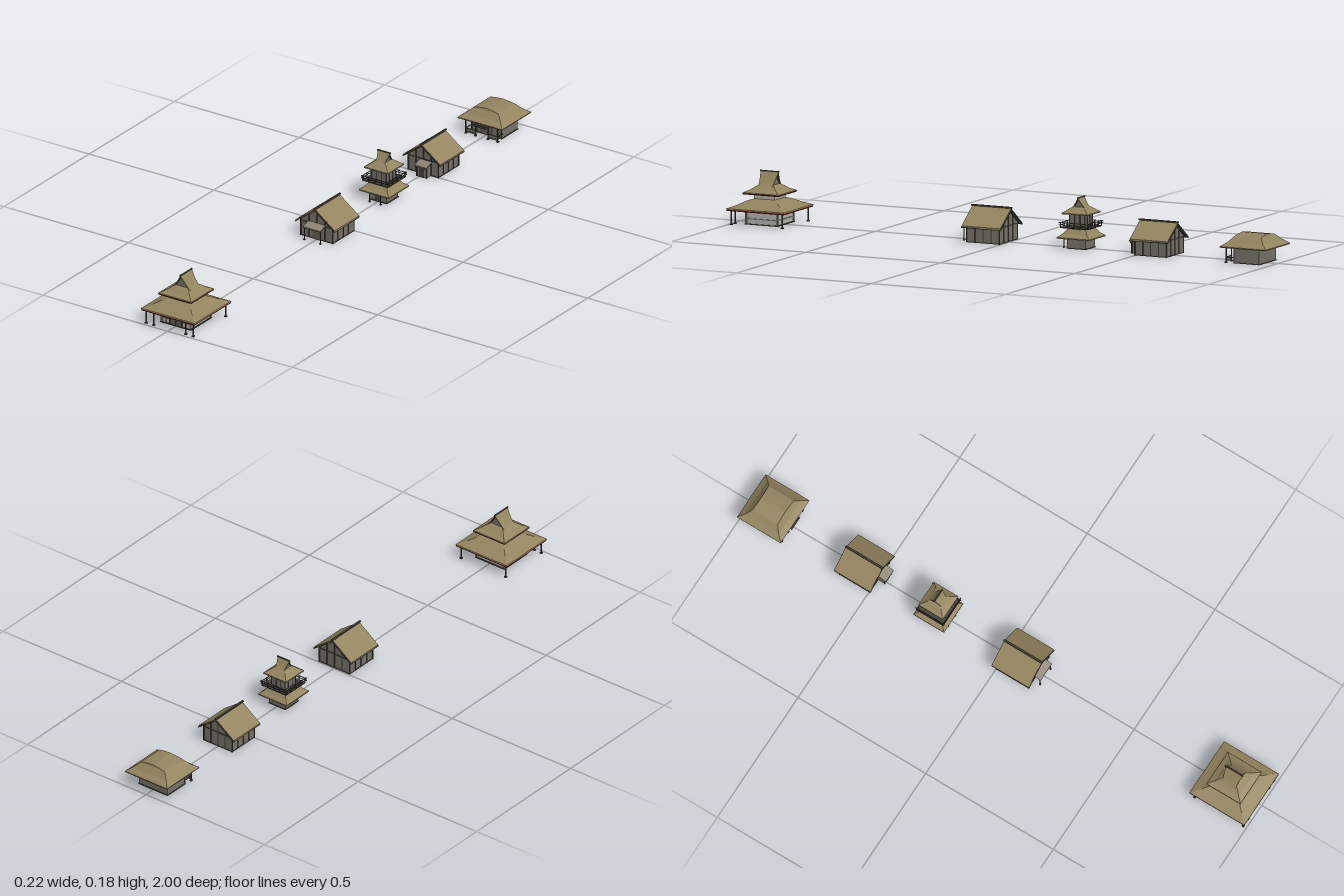
import * as THREE from 'three';

const mat = (color) => new THREE.MeshStandardMaterial({ color, flatShading: true, side: THREE.DoubleSide });
const thatch = mat(0x94845f), timber = mat(0x45423a), plaster = mat(0xb4b4ae), stone = mat(0x77736a);
const red = mat(0x6e0808), door = mat(0x625d53), board = mat(0x8c8373);

function add(parent, name, geo, material, x = 0, y = 0, z = 0) {
  const m = new THREE.Mesh(geo, material);
  m.name = name;
  m.position.set(x, y, z);
  parent.add(m);
  return m;
}

// box standing on y
const box = (p, name, m, w, h, d, x, y, z) => add(p, name, new THREE.BoxGeometry(w, h, d), m, x, y + h / 2, z);

// skin over four-cornered rings, closed at both ends
function loft(rings) {
  const pos = [];
  const quad = (a, b, c, d) => pos.push(...a, ...b, ...c, ...a, ...c, ...d);
  for (let i = 0; i < rings.length - 1; i++) {
    for (let k = 0; k < 4; k++) {
      const n = (k + 1) % 4;
      quad(rings[i][k], rings[i][n], rings[i + 1][n], rings[i + 1][k]);
    }
  }
  const f = rings[0], l = rings[rings.length - 1];
  quad(f[3], f[2], f[1], f[0]);
  quad(l[0], l[1], l[2], l[3]);
  const g = new THREE.BufferGeometry();
  g.setAttribute('position', new THREE.Float32BufferAttribute(pos, 3));
  g.computeVertexNormals();
  return g;
}

// hipped roof: profile rows are half width, half depth, height
const hip = (p, name, m, profile) => add(p, name, loft(profile.map(([x, z, y]) =>
  [[x, y, z], [x, y, -z], [-x, y, -z], [-x, y, z]])), m);

// two mirrored slopes, ridge along z: rows are x, height, half length
function slopes(p, name, m, profile, t) {
  const geo = loft(profile.map(([x, y, l]) => [[x, y, l], [x, y, -l], [x, y - t, -l], [x, y - t, l]]));
  for (const turn of [0, Math.PI]) add(p, name, geo, m).rotation.y = turn;
}

// solid outline in x and y, run along z
function prism(p, name, m, pts, depth) {
  const geo = new THREE.ExtrudeGeometry(new THREE.Shape(pts.map((q) => new THREE.Vector2(...q))),
    { depth, bevelEnabled: false });
  return add(p, name, geo.translate(0, 0, -depth / 2), m);
}

function post(p, x, z, h, r = 0.0028) {
  add(p, 'post', new THREE.CylinderGeometry(r, r, h, 8), timber, x, h / 2, z);
  box(p, 'postFoot', timber, r * 3, 0.004, r * 3, x, 0, z);
}

// curved gable crowning a hipped skirt
function crown(p, w, y0, y1, l0, l1) {
  const g = new THREE.Group();
  g.name = 'crownGable';
  const h = y1 - y0;
  const rows = [[w, y0, l0], [w * 0.62, y0 + h * 0.3, l0 * 1.05], [w * 0.3, y0 + h * 0.64, (l0 + l1) / 2], [0, y1, l1]];
  slopes(g, 'crownSlope', thatch, rows, 0.004);
  const pts = [[-w, y0 - 0.004], ...rows.map(([x, y]) => [x, y - 0.003]),
    ...rows.slice(0, 3).reverse().map(([x, y]) => [-x, y - 0.003])];
  prism(g, 'gableWall', stone, pts, l0 * 1.7);
  slopes(g, 'vergeBoard', timber, rows.map(([x, y, l]) => [x, y - 0.003, l - 0.001]), 0.0025);
  box(g, 'ridgeBeam', timber, 0.004, 0.004, l1 * 2 + 0.004, 0, y1 - 0.002, 0);
  p.add(g);
  return g;
}

function temple() {
  const g = new THREE.Group();
  box(g, 'base', timber, 0.124, 0.003, 0.124, 0, 0, 0);
  box(g, 'hallWalls', plaster, 0.116, 0.055, 0.116, 0, 0.002, 0);
  box(g, 'door', door, 0.046, 0.043, 0.003, 0, 0.002, 0.059);
  for (const x of [-0.024, 0, 0.024]) box(g, 'doorFrame', timber, 0.002, 0.043, 0.004, x, 0.002, 0.06);
  for (const y of [0.018, 0.044]) box(g, 'wallRail', stone, 0.12, 0.003, 0.12, 0, y, 0);
  for (const s of [-1, 1]) {
    for (const z of [-0.058, 0.058]) box(g, 'cornerTimber', stone, 0.005, 0.052, 0.005, s * 0.058, 0, z);
    box(g, 'wallStud', stone, 0.003, 0.05, 0.004, s * 0.04, 0, 0.058);
    post(g, s * 0.094, 0.095, 0.054);
    post(g, s * 0.094, -0.095, 0.054);
    post(g, s * 0.064, 0.095, 0.054);
  }
  hip(g, 'lowerFascia', red, [[0.092, 0.092, 0.054], [0.106, 0.106, 0.048], [0.107, 0.107, 0.053], [0.09, 0.09, 0.058]]);
  hip(g, 'lowerRoof', thatch, [[0.1, 0.1, 0.053], [0.108, 0.108, 0.053], [0.107, 0.107, 0.056], [0.079, 0.079, 0.067],
    [0.059, 0.059, 0.078], [0.039, 0.039, 0.085]]);
  box(g, 'upperWalls', plaster, 0.077, 0.03, 0.077, 0, 0.078, 0);
  box(g, 'upperRail', stone, 0.08, 0.003, 0.08, 0, 0.096, 0);
  hip(g, 'upperFascia', red, [[0.05, 0.05, 0.105], [0.066, 0.066, 0.101], [0.067, 0.067, 0.105], [0.05, 0.05, 0.109]]);
  hip(g, 'upperRoof', thatch, [[0.06, 0.06, 0.105], [0.067, 0.067, 0.105], [0.066, 0.066, 0.107], [0.049, 0.049, 0.115],
    [0.036, 0.036, 0.125], [0.025, 0.025, 0.131]]);
  crown(g, 0.038, 0.123, 0.174, 0.026, 0.034);
  for (const s of [-1, 1]) add(g, 'finial', new THREE.ConeGeometry(0.003, 0.008, 6), timber, 0, 0.176, s * 0.031);
  return g;
}

function watchtower() {
  const g = new THREE.Group();
  box(g, 'base', timber, 0.072, 0.003, 0.072, 0, 0, 0);
  box(g, 'lowerWalls', stone, 0.068, 0.045, 0.068, 0, 0, 0);
  box(g, 'door', timber, 0.022, 0.028, 0.003, 0, 0, 0.035);
  for (const s of [-1, 1]) post(g, s * 0.022, 0.052, 0.04, 0.002);
  hip(g, 'lowerRoof', thatch, [[0.034, 0.034, 0.041], [0.06, 0.06, 0.035], [0.06, 0.06, 0.039], [0.046, 0.046, 0.05],
    [0.034, 0.034, 0.066]]);
  box(g, 'upperWalls', stone, 0.056, 0.06, 0.056, 0, 0.064, 0);
  box(g, 'balconyFloor', timber, 0.104, 0.003, 0.104, 0, 0.07, 0);
  for (let i = 0; i < 4; i++) {
    const side = new THREE.Group();
    side.name = 'balconyRailing';
    side.rotation.y = i * Math.PI / 2;
    for (const y of [0.08, 0.087]) box(side, 'rail', timber, 0.114, 0.002, 0.002, 0, y, 0.051);
    for (const x of [-0.05, -0.025, 0, 0.025]) box(side, 'baluster', timber, 0.003, 0.019, 0.003, x, 0.071, 0.051);
    for (const x of [-0.028, -0.01, 0.01]) box(side, 'wallStud', timber, 0.003, 0.05, 0.003, x, 0.07, 0.028);
    g.add(side);
  }
  hip(g, 'upperRoof', thatch, [[0.026, 0.026, 0.12], [0.048, 0.048, 0.116], [0.048, 0.048, 0.12], [0.037, 0.037, 0.127],
    [0.026, 0.026, 0.136], [0.018, 0.018, 0.139]]);
  crown(g, 0.027, 0.134, 0.17, 0.018, 0.025).rotation.y = Math.PI / 2;
  return g;
}

// gabled house with timber framing
function house(hx, ridge, depth) {
  const g = new THREE.Group(), w = hx - 0.015, d = depth / 2, e = 0.056;
  const slope = (ridge - e) / hx, topAt = (x) => ridge - slope * Math.abs(x) - 0.006;
  box(g, 'base', timber, w * 2 + 0.002, 0.003, depth + 0.002, 0, 0, 0);
  prism(g, 'walls', stone, [[-w, 0], [w, 0], [w, topAt(w)], [0, topAt(0)], [-w, topAt(w)]], depth);
  for (const s of [-1, 1]) {
    for (const f of [-1, -0.5, 0, 0.5, 1]) {
      box(g, 'gableStud', timber, 0.004, topAt(f * w) - 0.001, 0.003, f * w, 0, s * d);
      box(g, 'sideStud', timber, 0.003, topAt(w), 0.004, s * w, 0, f * d);
    }
    box(g, 'gableBeam', timber, w * 2, 0.004, 0.003, 0, 0.052, s * d);
  }
  const rows = [[hx, e, d + 0.011], [0, ridge, d + 0.011]];
  slopes(g, 'roofSlope', thatch, rows, 0.005);
  slopes(g, 'vergeBoard', timber, rows.map(([x, y, l]) => [x, y - 0.003, l + 0.002]), 0.004);
  box(g, 'ridgeBeam', timber, 0.006, 0.005, depth + 0.03, 0, ridge - 0.001, 0);
  return g;
}

// lean-to roof over a doorway
function canopy(g, x, z, w, reach, y) {
  const tilt = 0.011;
  const ring = (zz, yy) => [[x + w, yy, zz], [x - w, yy, zz], [x - w, yy - 0.003, zz], [x + w, yy - 0.003, zz]];
  add(g, 'canopyRoof', loft([ring(z, y + tilt), ring(z + reach, y)]), board);
  box(g, 'canopyBeam', timber, w * 2, 0.003, 0.003, x, y - 0.006, z + reach - 0.004);
  box(g, 'door', door, w * 0.9, y - 0.012, 0.003, x, 0, z + 0.001);
}

function porchHouse() {
  const g = house(0.079, 0.114, 0.122);
  canopy(g, 0, 0.061, 0.035, 0.03, 0.049);
  for (const s of [-1, 1]) post(g, s * 0.032, 0.087, 0.046, 0.002);
  return g;
}

function entryHouse() {
  const g = house(0.075, 0.11, 0.118);
  canopy(g, 0.011, 0.059, 0.024, 0.034, 0.042);
  box(g, 'entryRoom', stone, 0.038, 0.039, 0.026, 0.011, 0, 0.072);
  for (const s of [-1, 1]) box(g, 'entryTimber', timber, 0.004, 0.04, 0.004, 0.011 + s * 0.019, 0, 0.085);
  box(g, 'entryDoor', timber, 0.02, 0.03, 0.002, 0.011, 0, 0.0855);
  return g;
}

function lowHall() {
  const g = new THREE.Group();
  box(g, 'base', timber, 0.124, 0.003, 0.096, 0, 0, -0.001);
  box(g, 'walls', stone, 0.12, 0.056, 0.092, 0, 0, -0.001);
  box(g, 'door', door, 0.04, 0.042, 0.003, 0, 0, 0.046);
  for (const s of [-1, 1]) {
    for (const x of [0.022, 0.042, 0.059]) box(g, 'frontStud', timber, 0.004, 0.05, 0.003, s * x, 0, 0.046);
    for (const x of [0.025, 0.064]) post(g, s * x, 0.074, 0.054, 0.0025);
    for (const y of [0.008, 0.018]) box(g, 'porchRail', timber, 0.039, 0.003, 0.002, s * 0.0445, y, 0.074);
    box(g, 'porchPanel', stone, 0.037, 0.014, 0.0015, s * 0.0445, 0.005, 0.074);
    box(g, 'sideRail', timber, 0.002, 0.003, 0.03, s * 0.064, 0.018, 0.06);
  }
  box(g, 'porchLintel', timber, 0.05, 0.007, 0.006, 0, 0.042, 0.086);
  hip(g, 'roof', thatch, [[0.06, 0.046, 0.058], [0.088, 0.085, 0.053], [0.089, 0.086, 0.057], [0.07, 0.066, 0.071],
    [0.05, 0.049, 0.09], [0.03, 0.048, 0.094], [0.002, 0.047, 0.097]]);
  return g;
}

export function createModel() {
  const village = new THREE.Group();
  village.name = 'village';
  const plots = [['temple', temple, 0.892], ['porchHouse', porchHouse, 0.065], ['watchtower', watchtower, -0.267],
    ['entryHouse', entryHouse, -0.557], ['lowHall', lowHall, -0.914]];
  for (const [name, build, z] of plots) {
    const g = build();
    g.name = name;
    g.position.z = z;
    village.add(g);
  }
  return village;
}
